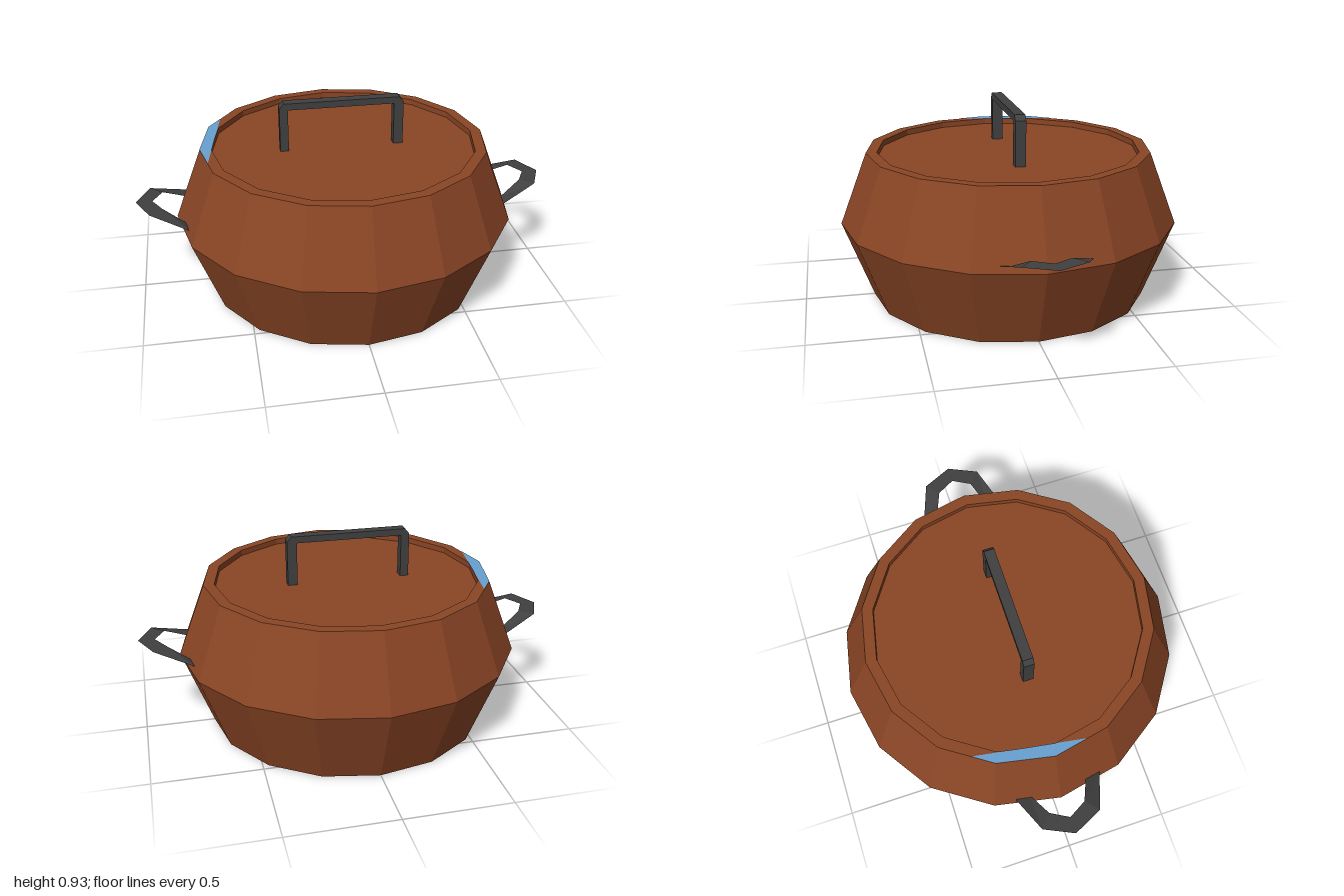
import * as THREE from 'three';

const SIDES = 16;
const RIM_Y = 0.715, LID_Y = 0.687;

const mat = (name, color, extra = {}) =>
  Object.assign(new THREE.MeshStandardMaterial({ color, flatShading: true, ...extra }), { name });

export function createModel() {
  const brown = mat('brown enamel', 0x8a4525);
  const iron = mat('dark iron', 0x404040, { side: THREE.DoubleSide });
  const blue = mat('blue accent', 0x68a0d0);

  const model = new THREE.Group();
  model.name = 'cookingPot';
  const add = (name, geometry, material) => {
    const mesh = new THREE.Mesh(geometry, material);
    mesh.name = name;
    model.add(mesh);
    return mesh;
  };
  const lathe = (pts) =>
    new THREE.LatheGeometry(pts.map(([r, y]) => new THREE.Vector2(r, y)), SIDES);

  // Faceted body with flat base, flat rim and the inner wall of the rim
  add('potBody', lathe([
    [0, 0], [0.67, 0], [0.812, 0.375], [0.682, RIM_Y], [0.63, RIM_Y], [0.63, LID_Y],
  ]), brown);

  // Lid sunk just below the rim
  add('lid', lathe([[0.63, LID_Y], [0, LID_Y]]), brown);

  // Thin coloured sliver on the rim, as [x, z] corners
  const sliver = new THREE.Shape(
    [[-0.568, -0.352], [-0.63, -0.261], [-0.682, 0], [-0.65, 0.16]]
      .map(([x, z]) => new THREE.Vector2(x, -z)));
  add('rimAccent', new THREE.ShapeGeometry(sliver).rotateX(-Math.PI / 2)
    .translate(0, RIM_Y + 0.002, 0), blue);

  // Squared arch handle on the lid, with clipped corners
  const arch = new THREE.Shape([
    [-0.305, LID_Y], [-0.265, LID_Y], [-0.265, 0.893], [0.24, 0.893], [0.24, LID_Y],
    [0.286, LID_Y], [0.286, 0.9], [0.265, 0.925], [-0.284, 0.925], [-0.305, 0.9],
  ].map(([x, y]) => new THREE.Vector2(x, y)));
  add('lidHandle', new THREE.ExtrudeGeometry(arch, { depth: 0.05, bevelEnabled: false })
    .translate(0, 0, -0.025), iron);

  // Flat side handles: each section is outer [x, z], inner [x, z], height
  const half = [
    [0.75, 0.213, 0.76, 0.14, 0.403],
    [0.935, 0.14, 0.875, 0.086, 0.465],
    [1.0, 0, 0.923, 0, 0.465],
  ];
  const sections = [...half,
    ...half.slice(0, 2).reverse().map(([a, b, c, d, y]) => [a, -b, c, -d, y])];
  for (const side of [1, -1]) {
    const pos = [], index = [];
    sections.forEach(([ox, oz, ix, iz, y], i) => {
      pos.push(side * ox, y, side * oz, side * ix, y, side * iz);
      if (i === 0) return;
      const a = 2 * i - 2, b = a + 1, c = a + 2, d = a + 3;
      // Keep the upper face as the front face on both sides
      if (side > 0) index.push(a, c, b, b, c, d);
      else index.push(a, c, b, b, c, d);
    });
    const g = new THREE.BufferGeometry();
    g.setAttribute('position', new THREE.Float32BufferAttribute(pos, 3));
    g.setIndex(index);
    g.computeVertexNormals();
    add(side > 0 ? 'leftHandle' : 'rightHandle', g, iron);
  }

  return model;
}
